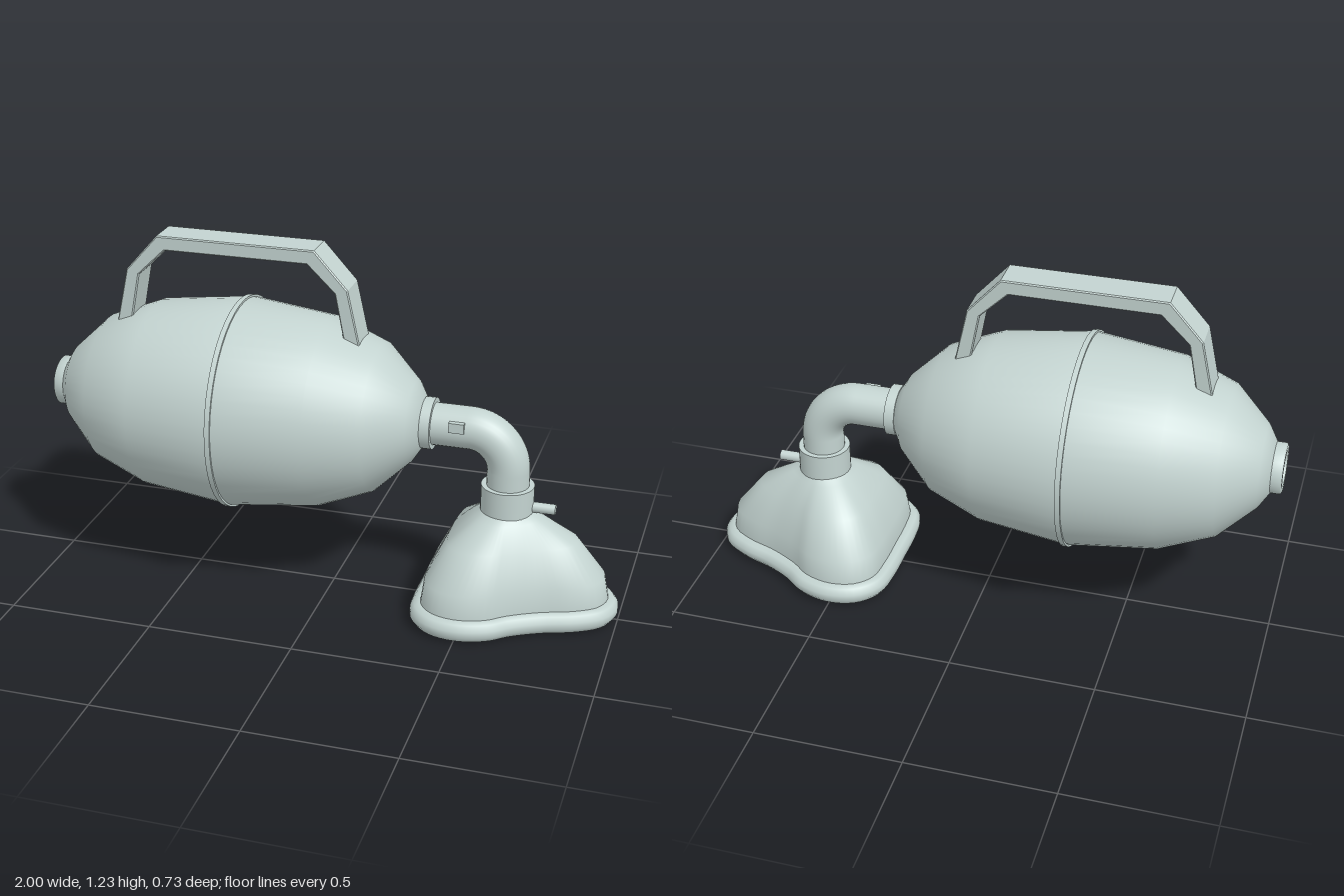
import * as THREE from 'three';
import { toCreasedNormals } from 'three/addons/utils/BufferGeometryUtils.js';

const AXIS_Y = 0.643; // height of the bag's long axis
const MASK_X = 0.605; // centre of the mask and its connector

export function createModel() {
  const model = new THREE.Group();
  const plastic = new THREE.MeshStandardMaterial({ color: 0xc3d3d0 });
  plastic.name = 'paleGreyGreen';
  const shell = new THREE.MeshStandardMaterial({ color: 0xc3d3d0, side: THREE.DoubleSide });
  shell.name = 'paleGreyGreenShell';

  const add = (name, geometry, x = 0, y = 0, z = 0, material = plastic) => {
    const mesh = new THREE.Mesh(geometry, material);
    mesh.name = name;
    mesh.position.set(x, y, z);
    model.add(mesh);
    return mesh;
  };
  // Lathe whose axis runs along x; profile entries are [x, radius]
  const latheX = (profile, segments = 48) =>
    new THREE.LatheGeometry(profile.map(([x, r]) => new THREE.Vector2(r, x)), segments).rotateZ(-Math.PI / 2);
  const cylinderX = (r, length, segments = 32) =>
    new THREE.CylinderGeometry(r, r, length, segments).rotateZ(-Math.PI / 2);

  // Squeeze bag, symmetrical about its seam
  const half = [[0.645, 0], [0.645, 0.075], [0.605, 0.14], [0.485, 0.255], [0.305, 0.325]];
  const bag = [
    ...half.map(([x, r]) => [-x, r]),
    [0, 0.361],
    ...half.slice().reverse(),
  ];
  add('bag', latheX(bag), -0.325, AXIS_Y);
  add('bagSeam', cylinderX(0.367, 0.018, 48), -0.325, AXIS_Y);

  // Open inlet ring on the far end
  const ring = [[-0.96, 0.055], [-0.995, 0.055], [-1, 0.06], [-1, 0.08], [-0.995, 0.086], [-0.96, 0.086]];
  add('inletRing', toCreasedNormals(latheX(ring, 32), 0.9), 0, AXIS_Y);

  // Carrying handle
  const outline = [
    [-0.76, 0.88], [-0.712, 1.1], [-0.6, 1.226], [-0.052, 1.226], [0.062, 1.1], [0.11, 0.88],
    [0.057, 0.88], [0.018, 1.085], [-0.077, 1.177], [-0.573, 1.177], [-0.668, 1.085], [-0.707, 0.88],
  ].map(([x, y]) => new THREE.Vector2(x, y));
  const handle = new THREE.ExtrudeGeometry(new THREE.Shape(outline), {
    depth: 0.112, bevelEnabled: true, bevelThickness: 0.004, bevelSize: 0.004, bevelOffset: -0.004, bevelSegments: 1,
  });
  add('handle', handle, 0, 0, -0.056);

  // Outlet collar and elbow pipe
  add('outletCollar', cylinderX(0.088, 0.035), 0.332, AXIS_Y);
  const bend = 0.135;
  const path = new THREE.CurvePath();
  const v = (x, y) => new THREE.Vector3(x, y, 0);
  const k = bend * 0.4477;
  path.add(new THREE.LineCurve3(v(0.32, AXIS_Y), v(MASK_X - bend, AXIS_Y)));
  path.add(new THREE.CubicBezierCurve3(
    v(MASK_X - bend, AXIS_Y), v(MASK_X - k, AXIS_Y), v(MASK_X, AXIS_Y - k), v(MASK_X, AXIS_Y - bend)));
  path.add(new THREE.LineCurve3(v(MASK_X, AXIS_Y - bend), v(MASK_X, 0.4)));
  add('elbowPipe', new THREE.TubeGeometry(path, 48, 0.072, 28), 0, 0, 0);
  add('pipeClip', new THREE.BoxGeometry(0.052, 0.034, 0.03), 0.439, 0.667, 0.063);

  // Mask connector with its side port
  add('maskConnector', new THREE.CylinderGeometry(0.09, 0.09, 0.105, 32), MASK_X, 0.402);
  add('sidePort', cylinderX(0.018, 0.11, 16), 0.715, 0.381);

  // Face mask outline, relative to the connector axis, as [x, z]
  const side = [[0.335, 0.068], [0.262, 0.118], [0.155, 0.158], [0.055, 0.212], [-0.01, 0.262],
    [-0.1, 0.287], [-0.185, 0.27], [-0.238, 0.215], [-0.252, 0.12]];
  const loop = [
    [0.358, 0], ...side, [-0.253, 0], ...side.slice().reverse().map(([x, z]) => [x, -z]),
  ].map(([x, z]) => new THREE.Vector3(x, 0, z));
  const rimCurve = new THREE.CatmullRomCurve3(loop, true);
  add('maskRim', new THREE.TubeGeometry(rimCurve, 96, 0.037, 10, true), MASK_X, 0.037);

  // Dome blends from the rim outline to a round neck: [height, blend]
  const rows = [[0.035, 1], [0.075, 1], [0.155, 0.945], [0.275, 0.59], [0.345, 0.13], [0.367, 0]];
  const count = 72;
  const base = rimCurve.getSpacedPoints(count).slice(0, count);
  const positions = [];
  const index = [];
  rows.forEach(([y, t], row) => base.forEach((p, i) => {
    const neck = p.clone().setLength(0.085);
    const q = neck.lerp(p, t);
    positions.push(q.x, y, q.z);
    if (row === rows.length - 1) return;
    const a = row * count + i;
    const b = row * count + (i + 1) % count;
    index.push(a, a + count, b, b, a + count, b + count);
  }));
  const dome = new THREE.BufferGeometry();
  dome.setAttribute('position', new THREE.Float32BufferAttribute(positions, 3));
  dome.setIndex(index);
  dome.computeVertexNormals();
  add('maskDome', dome, MASK_X, 0, 0, shell);

  return model;
}
